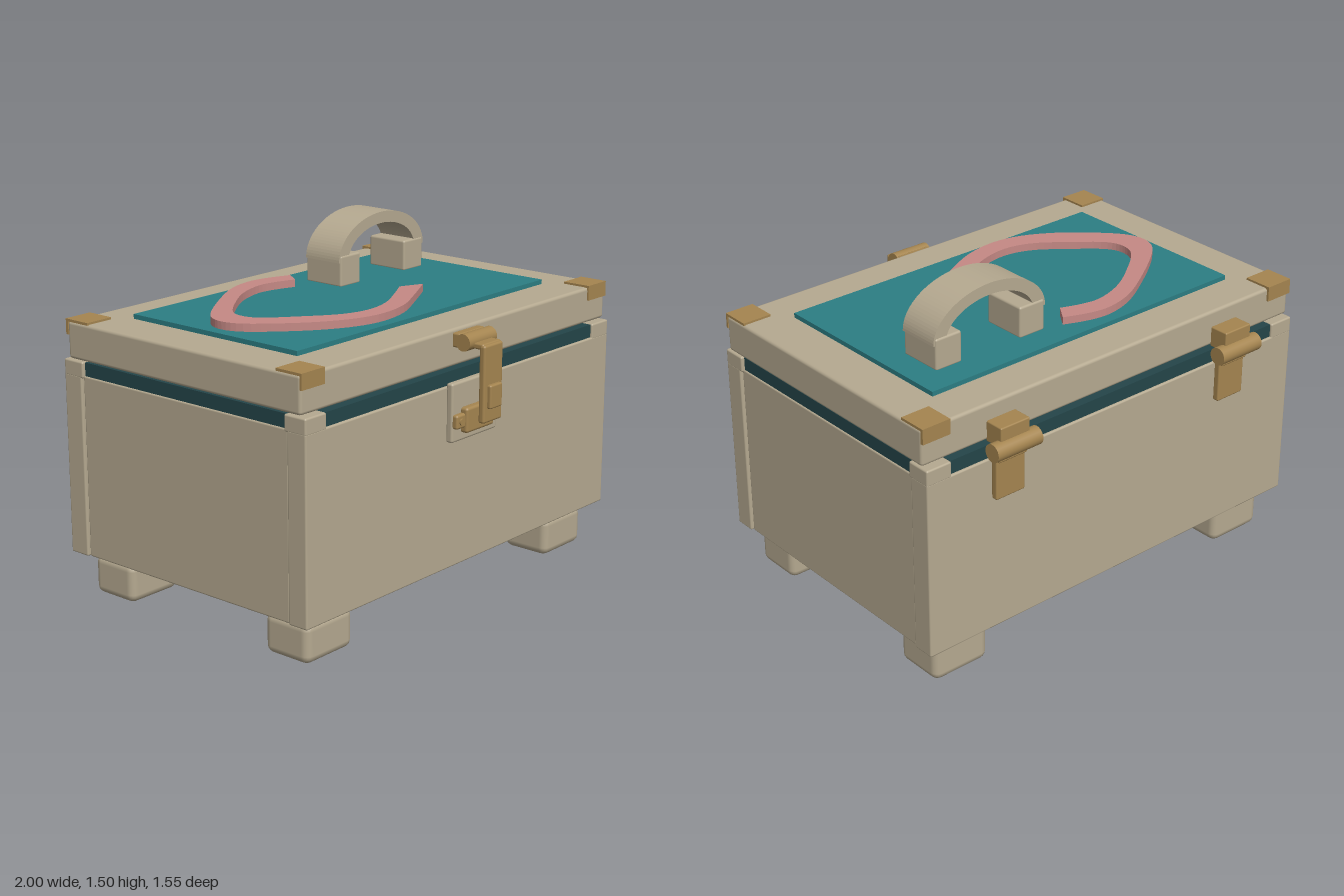
import * as THREE from 'three';
import { RoundedBoxGeometry } from 'three/addons/geometries/RoundedBoxGeometry.js';

const paint = (name, color) => {
  const m = new THREE.MeshStandardMaterial({ color });
  m.name = name;
  return m;
};

export function createModel() {
  const model = new THREE.Group();
  model.name = 'chest';
  const tan = paint('tan', 0xb5a990);
  const brass = paint('brass', 0xa58550);
  const teal = paint('teal', 0x2c7e83);
  const dark = paint('dark teal', 0x244549);
  const pink = paint('pink', 0xc58985);

  const add = (name, geometry, material, parent = model) => {
    const mesh = new THREE.Mesh(geometry, material);
    mesh.name = name;
    parent.add(mesh);
    return mesh;
  };
  // Box given by its extents, with edges softened by radius r
  const box = (name, mat, [x0, x1], [y0, y1], [z0, z1], r = 0, parent = model) => {
    const s = [x1 - x0, y1 - y0, z1 - z0];
    const g = r ? new RoundedBoxGeometry(...s, 2, r) : new THREE.BoxGeometry(...s);
    g.translate((x0 + x1) / 2, (y0 + y1) / 2, (z0 + z1) / 2);
    return add(name, g, mat, parent);
  };
  // Span mirrored to the given side
  const span = (side, a, b) => (side > 0 ? [a, b] : [-b, -a]);
  // Cylinder lying along x
  const barrel = (name, x, y, z, r, length, parent = model) => {
    const g = new THREE.CylinderGeometry(r, r, length, 24).rotateZ(Math.PI / 2);
    return add(name, g.translate(x, y, z), brass, parent);
  };

  // Body: front and back panels overlap the slightly inset sides
  box('core', tan, [-0.97, 0.97], [0.19, 0.97], [-0.6, 0.56]);
  box('frontPanel', tan, [-1, 1], [0.19, 0.975], [0.545, 0.64], 0.008);
  box('backPanel', tan, [-1, 1], [0.19, 0.975], [-0.69, -0.59], 0.008);
  box('basePlate', tan, [-0.92, 0.92], [0.155, 0.195], [-0.595, 0.545], 0.008);
  for (const s of [-1, 1]) {
    box('sidePanel', tan, span(s, 0.93, 0.99), [0.19, 0.975], [-0.588, 0.543], 0.008);
    for (const [z0, z1] of [[0.53, 0.64], [-0.69, -0.58]]) {
      box('cornerBlock', tan, span(s, 0.88, 1), [0.965, 1.035], [z0, z1], 0.008);
    }
    // Chunky rounded feet
    for (const [z0, z1] of [[0.35, 0.58], [-0.63, -0.4]]) {
      box('foot', tan, span(s, 0.655, 0.93), [0, 0.172], [z0, z1], 0.035);
    }
  }

  // Dark liner showing in the gap beneath the lid
  box('linerLong', dark, [-0.88, 0.88], [0.96, 1.032], [-0.68, 0.63]);
  box('linerWide', dark, [-0.985, 0.985], [0.96, 1.032], [-0.58, 0.53]);

  // Lid with teal inlay
  box('lid', tan, [-1, 1], [1.04, 1.197], [-0.66, 0.615], 0.014);
  box('inlay', teal, [-0.8, 0.8], [1.19, 1.217], [-0.48, 0.42]);

  // Brass caps on the four lid corners
  for (const s of [-1, 1]) {
    const x = span(s, 0.868, 1);
    box('cornerCapTop', brass, x, [1.195, 1.206], [0.492, 0.622]);
    box('cornerCapFace', brass, x, [1.14, 1.206], [0.612, 0.622]);
    box('cornerCapTop', brass, x, [1.195, 1.206], [-0.67, -0.542]);
    box('cornerCapFace', brass, x, [1.14, 1.206], [-0.67, -0.657]);
  }

  // Raised open loop: outer edge one way, inner edge back
  const outer = [[0.04, -0.378], [-0.07, -0.418], [-0.18, -0.43], [-0.32, -0.392], [-0.48, -0.3],
    [-0.64, -0.19], [-0.725, -0.11], [-0.75, -0.03], [-0.72, 0.06], [-0.62, 0.17], [-0.5, 0.27],
    [-0.36, 0.345], [-0.22, 0.37], [-0.06, 0.342], [0.1, 0.265], [0.285, 0.165]];
  const inner = [[0.18, 0.12], [0.06, 0.19], [-0.08, 0.26], [-0.22, 0.285], [-0.35, 0.25],
    [-0.48, 0.155], [-0.6, 0.05], [-0.63, -0.03], [-0.6, -0.11], [-0.48, -0.21],
    [-0.34, -0.3], [-0.2, -0.345], [-0.1, -0.335], [-0.01, -0.305]];
  const edge = (pts) => new THREE.SplineCurve(pts.map(([x, z]) => new THREE.Vector2(x, -z))).getPoints(60);
  const loop = new THREE.ExtrudeGeometry(new THREE.Shape([...edge(outer), ...edge(inner)]),
    { depth: 0.036, bevelEnabled: false });
  add('loopOrnament', loop.rotateX(-Math.PI / 2).translate(0, 1.214, 0), pink);

  // Carrying handle: half-ellipse arch on two posts
  const handle = new THREE.Group();
  handle.name = 'handle';
  model.add(handle);
  const arch = new THREE.Shape();
  arch.absellipse(0, 0, 0.288, 0.185, 0, Math.PI, false, 0);
  arch.lineTo(-0.225, 0);
  arch.absellipse(0, 0, 0.225, 0.135, Math.PI, 0, true, 0);
  const archGeo = new THREE.ExtrudeGeometry(arch, { depth: 0.19, bevelEnabled: false, curveSegments: 24 });
  add('arch', archGeo.translate(0.4, 1.32, -0.35), tan, handle);
  for (const x of [0.12, 0.55]) {
    box('handlePost', tan, [x, x + 0.13], [1.212, 1.35], [-0.356, -0.156], 0.01, handle);
  }

  // Front latch
  const latch = new THREE.Group();
  latch.name = 'latch';
  model.add(latch);
  box('latchPlate', tan, [-0.15, 0.15], [0.74, 0.99], [0.635, 0.668], 0.01, latch);
  box('catchFlange', brass, [-0.145, 0.145], [0.8, 0.86], [0.66, 0.69], 0.01, latch);
  box('catchBlock', brass, [-0.092, 0.092], [0.775, 0.882], [0.66, 0.7], 0.012, latch);
  for (const x of [-0.116, 0.116]) {
    const rivet = new THREE.CylinderGeometry(0.014, 0.014, 0.01, 16).rotateX(Math.PI / 2);
    add('rivet', rivet.translate(x, 0.83, 0.691), brass, latch);
  }
  box('latchMount', brass, [-0.085, 0.085], [1.122, 1.182], [0.61, 0.65], 0.008, latch);
  barrel('latchBarrel', 0, 1.15, 0.67, 0.036, 0.18, latch);
  box('latchArm', brass, [-0.06, 0.06], [1.125, 1.15], [0.67, 0.75], 0.008, latch);
  box('latchStrap', brass, [-0.062, 0.062], [0.82, 1.145], [0.73, 0.76], 0.01, latch);
  box('latchTab', brass, [-0.04, 0.04], [0.88, 0.98], [0.75, 0.777], 0.008, latch);

  // Two rear hinges
  for (const x of [-0.61, 0.61]) {
    const hinge = new THREE.Group();
    hinge.name = 'hinge';
    model.add(hinge);
    const leaf = [x - 0.073, x + 0.073];
    barrel('hingeBarrel', x, 1.03, -0.738, 0.039, 0.225, hinge);
    box('upperLeaf', brass, leaf, [1.035, 1.125], [-0.745, -0.655], 0.006, hinge);
    box('lowerLeaf', brass, leaf, [0.795, 1.0], [-0.717, -0.685], 0.008, hinge);
    box('leafFold', brass, leaf, [0.965, 1.02], [-0.732, -0.69], 0.008, hinge);
  }
  return model;
}
